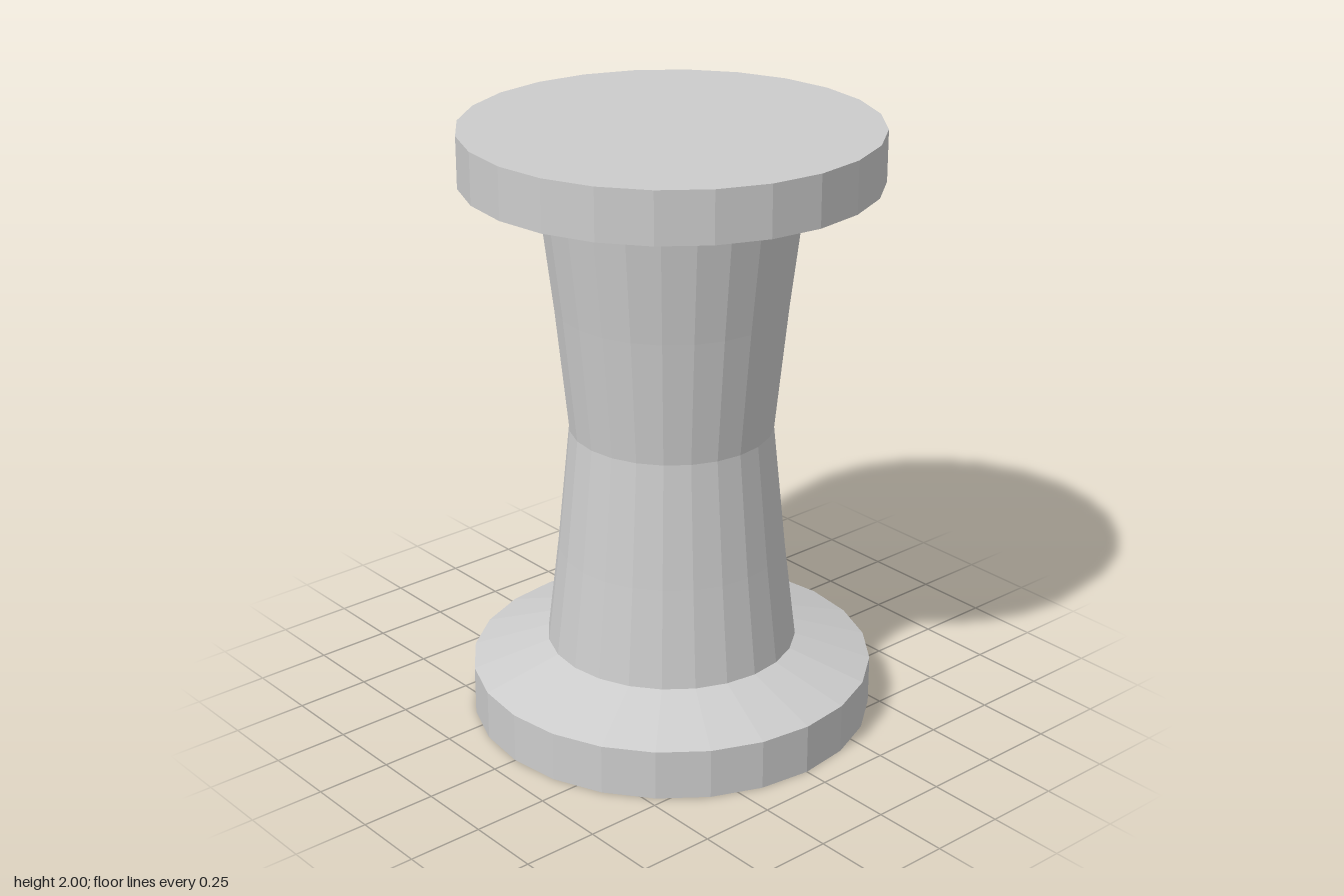
import * as THREE from 'three';

const SIDES = 24;

export function createModel() {
  const model = new THREE.Group();
  model.name = 'spool';
  const grey = new THREE.MeshStandardMaterial({ color: 0xcccccc });
  grey.name = 'plain grey';

  // Turned part from [radius, height] pairs, listed from bottom to top
  function turned(name, profile) {
    const points = profile.map(([r, y]) => new THREE.Vector2(r, y));
    let geometry = new THREE.LatheGeometry(points, SIDES).toNonIndexed();
    geometry.computeVertexNormals(); // one normal per facet
    const mesh = new THREE.Mesh(geometry, grey);
    mesh.name = name;
    model.add(mesh);
  }

  // Flange: flat end, straight rim, then a bevel to the shaft
  const flange = [[0, 0], [0.667, 0], [0.667, 0.167], [0.415, 0.25]];
  // Lower half of the waisted shaft
  const shaft = [[0.415, 0.25], [0.375, 0.583], [0.333, 1]];
  const mirrored = (profile) => profile.map(([r, y]) => [r, 2 - y]).reverse();

  turned('bottomFlange', flange);
  turned('shaft', [...shaft, ...mirrored(shaft).slice(1)]);
  turned('topFlange', mirrored(flange));

  return model;
}
